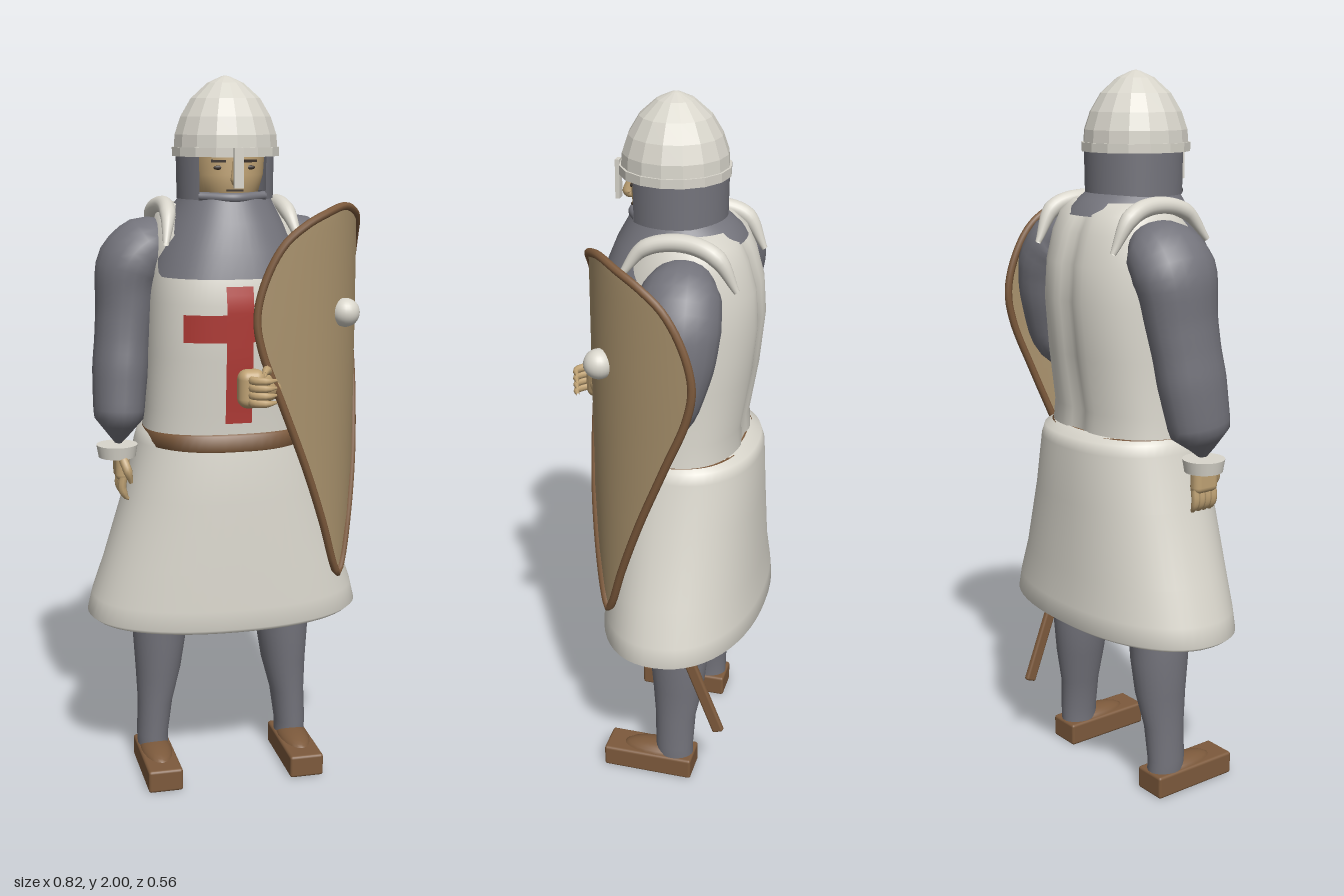
import * as THREE from 'three';
import { mergeVertices } from 'three/addons/utils/BufferGeometryUtils.js';
import { RoundedBoxGeometry } from 'three/addons/geometries/RoundedBoxGeometry.js';

const { lerp, smoothstep } = THREE.MathUtils;
const V = (x, y, z) => new THREE.Vector3(x, y, z);

function mat(name, color, extra = {}) {
  return new THREE.MeshStandardMaterial({ name, color, ...extra });
}

// Grid of points fn(u, v), u running right and v running up when seen from outside
function grid(nu, nv, fn, wrap = false) {
  const pos = [], idx = [], cols = wrap ? nu : nu + 1;
  for (let j = 0; j <= nv; j++)
    for (let i = 0; i < cols; i++) pos.push(...fn(i / nu, j / nv));
  for (let j = 0; j < nv; j++)
    for (let i = 0; i < nu; i++) {
      const a = j * cols + i, b = j * cols + (i + 1) % cols;
      idx.push(a, b, b + cols, a, b + cols, a + cols);
    }
  const g = new THREE.BufferGeometry();
  g.setAttribute('position', new THREE.Float32BufferAttribute(pos, 3));
  g.setIndex(idx);
  g.computeVertexNormals();
  return g;
}

// Stacked superellipse rings: [y, centreX, halfWidth, zFront, zBack]
function loft(rows, n = 2, tweak = p => p, seg = 56) {
  const pw = t => Math.sign(t) * Math.abs(t) ** (2 / n);
  return grid(seg, rows.length - 1, (u, v) => {
    const [y, cx, hx, zf, zb] = rows[Math.round(v * (rows.length - 1))];
    const a = u * Math.PI * 2, c = pw(Math.cos(a));
    // the widest point sits midway between front and back
    const zm = (zf + zb) / 2, hz = (zf - zb) / 2;
    return tweak([cx + hx * pw(Math.sin(a)), y, zm + hz * c]);
  }, true);
}

// Tube of varying radius along a smooth path
function limb(points, radii, zScale = 1, seg = 28, sides = 20) {
  const path = new THREE.CatmullRomCurve3(points.map(p => V(...p)));
  const g = new THREE.TubeGeometry(path, seg, 1, sides);
  const pos = g.attributes.position, q = V(0, 0, 0);
  for (let i = 0; i < pos.count; i++) {
    const t = Math.floor(i / (sides + 1)) / seg, c = path.getPointAt(t);
    const f = t * (radii.length - 1), k = Math.min(Math.floor(f), radii.length - 2);
    const r = lerp(radii[k], radii[k + 1], f - k);
    q.fromBufferAttribute(pos, i).sub(c).multiplyScalar(r);
    q.z *= zScale;
    q.add(c);
    pos.setXYZ(i, q.x, q.y, q.z);
  }
  g.deleteAttribute('uv');
  g.deleteAttribute('normal');
  const m = mergeVertices(g, 1e-5);
  m.computeVertexNormals();
  return m;
}

const TORSO_N = 2.4;
const TORSO = [
  [1.0, 0, 0.235, 0.16, -0.195], [1.1, 0, 0.225, 0.165, -0.19], [1.25, 0, 0.22, 0.178, -0.215],
  [1.4, 0, 0.217, 0.185, -0.23], [1.5, 0, 0.21, 0.165, -0.223], [1.58, 0, 0.2, 0.13, -0.2],
  [1.63, 0, 0.18, 0.08, -0.175], [1.66, 0, 0.15, 0.04, -0.14], [1.66, 0, 0.01, 0, -0.02]];

// Height of the chest surface at (x, y)
function chestZ(x, y) {
  const k = Math.max(0, TORSO.findIndex(r => r[0] > y) - 1), a = TORSO[k], b = TORSO[k + 1];
  const t = (y - a[0]) / (b[0] - a[0]);
  const hx = lerp(a[2], b[2], t), zf = lerp(a[3], b[3], t), zb = lerp(a[4], b[4], t);
  return (zf + zb) / 2 + (zf - zb) / 2 * (1 - Math.abs(x / hx) ** TORSO_N) ** (1 / TORSO_N);
}

export function createModel() {
  const cloth = mat('off white', 0xd9d6cc, { side: THREE.DoubleSide });
  const helmetMat = mat('helmet white', 0xd8d5cb, { flatShading: true });
  const mail = mat('mail grey', 0x74747c, { side: THREE.DoubleSide });
  const skin = mat('skin', 0xbfa274);
  const leather = mat('leather brown', 0x7d5a3c);
  const red = mat('red', 0xb03a35, { side: THREE.DoubleSide });
  const tan = mat('shield tan', 0xa8916c, { side: THREE.DoubleSide });
  const dark = mat('dark', 0x3a3028);

  const root = new THREE.Group();
  const body = new THREE.Group();
  body.name = 'body';
  body.position.x = -0.01;
  root.add(body);
  const add = (name, geo, material, parent = body) => {
    const m = new THREE.Mesh(geo, material);
    m.name = name;
    parent.add(m);
    return m;
  };

  // Surcoat with a soft groove down the back
  const groove = ([x, y, z]) => [x, y, z < 0 ? z + 0.014 * Math.exp(-((x / 0.03) ** 2)) : z];
  add('surcoat', loft(TORSO, TORSO_N, groove, 72), cloth);
  add('skirt', loft([
    [0.482, 0, 0.38, 0.185, -0.245], [0.495, 0, 0.397, 0.198, -0.264], [0.55, 0, 0.384, 0.196, -0.26],
    [0.65, 0, 0.35, 0.19, -0.25], [0.85, 0, 0.287, 0.18, -0.243], [1.0, 0, 0.252, 0.168, -0.238],
    [1.03, 0, 0.243, 0.155, -0.228], [1.045, 0, 0.222, 0.13, -0.19]], 2.2,
    ([x, y, z]) => [x, y - (y < 0.6 ? 0.03 * z : 0), z]), cloth);
  add('belt', loft([[0.99, 0, 0.2, 0.16, -0.19], [1.0, 0, 0.232, 0.18, -0.2],
    [1.04, 0, 0.232, 0.174, -0.2], [1.045, 0, 0.22, 0.155, -0.185]], 2.4), leather);
  for (const s of [-1, 1])
    add('shoulderStrap', limb([[s * 0.185, 1.56, 0.11], [s * 0.168, 1.635, 0.05], [s * 0.163, 1.655, -0.05],
      [s * 0.175, 1.63, -0.14], [s * 0.17, 1.54, -0.195]], [0.008, 0.022, 0.024, 0.024, 0.008]), cloth);

  // Cross following the chest
  for (const [x0, x1, y0, y1] of [[-0.036, 0.038, 1.075, 1.45], [-0.147, -0.036, 1.3, 1.375], [0.038, 0.147, 1.3, 1.375]])
    add('chestCross', grid(12, 16, (u, v) => {
      const x = lerp(x0, x1, u), y = lerp(y0, y1, v);
      return [x, y, chestZ(x, y) + 0.006];
    }), red);

  // Mail cape: low in front, high behind
  const rings = [[0, 0, 0], [0.3, 0.25, 0.2], [0.65, 0.65, 0.55], [0.9, 0.92, 0.9], [1, 1, 1]];
  add('mailCape', grid(56, 4, (u, v) => {
    const a = u * Math.PI * 2, [ty, tx, tz] = rings[Math.round(v * 4)];
    const c = Math.cos(a), s = Math.sin(a), front = smoothstep(c, -0.3, 0.45);
    const px = Math.sign(s) * Math.abs(s) ** 0.85;
    return [lerp(px * lerp(0.16, 0.215, front), s * 0.12, tx), lerp(lerp(1.625, 1.473, front), 1.69, ty),
      lerp(c > 0 ? 0.213 * c ** 0.85 : 0.18 * c, 0.122 * c + 0.005, tz)];
  }, true), mail);

  // Head: mail hood open at the face
  const hood = new THREE.CylinderGeometry(0.134, 0.132, 0.13, 40, 1, true, 0.76, Math.PI * 2 - 1.52);
  hood.translate(0, 1.74, 0.005);
  add('mailHood', hood, mail);
  add('hoodRim', limb([[-0.09, 1.684, 0.09], [0, 1.68, 0.125], [0.09, 1.684, 0.09]], [0.012, 0.014, 0.012]), mail);
  add('face', loft([[1.66, 0, 0.06, 0.1, -0.08], [1.69, 0, 0.085, 0.125, -0.1], [1.74, 0, 0.1, 0.128, -0.1],
    [1.8, 0, 0.105, 0.125, -0.1]], 2.2), skin);
  add('nose', limb([[0, 1.775, 0.125], [0, 1.745, 0.138], [0, 1.725, 0.14], [0, 1.718, 0.12]],
    [0.008, 0.011, 0.016, 0.004]), skin);
  add('mouth', new THREE.BoxGeometry(0.045, 0.005, 0.006), dark).position.set(0, 1.7, 0.125);
  for (const s of [-1, 1]) {
    const brow = add('brow', new THREE.BoxGeometry(0.04, 0.007, 0.008), dark);
    brow.position.set(s * 0.043, 1.777, 0.118);
    brow.rotation.y = s * 0.3;
    const eye = add('eye', new THREE.SphereGeometry(0.01, 12, 8), dark);
    eye.scale.set(1.4, 0.6, 0.4);
    eye.position.set(s * 0.043, 1.76, 0.118);
  }

  // Faceted helmet with rim and nose guard
  const lathe = pts => new THREE.LatheGeometry(pts.map(p => new THREE.Vector2(...p)), 16).translate(0, 0, 0.012);
  add('helmet', lathe([[0.135, 1.79], [0.143, 1.805], [0.14, 1.845], [0.124, 1.892], [0.095, 1.94],
    [0.05, 1.98], [0.012, 1.997], [0, 2]]), helmetMat);
  add('helmetRim', lathe([[0.134, 1.788], [0.148, 1.788], [0.148, 1.812], [0.138, 1.812]]), helmetMat);
  add('noseGuard', new THREE.BoxGeometry(0.025, 0.105, 0.012), helmetMat).position.set(0, 1.76, 0.168);

  // Sleeves
  add('rightSleeve', limb([[-0.14, 1.56, -0.06], [-0.2, 1.545, -0.06], [-0.255, 1.49, -0.06], [-0.275, 1.36, -0.05],
    [-0.295, 1.18, -0.025], [-0.305, 1.02, 0], [-0.306, 1.0, 0]],
    [0.05, 0.088, 0.094, 0.085, 0.08, 0.077, 0.078, 0.074, 0.07, 0.01], 1.3), mail);
  add('leftSleeve', limb([[0.14, 1.56, -0.06], [0.21, 1.545, -0.06], [0.265, 1.48, -0.065], [0.29, 1.36, -0.06],
    [0.295, 1.23, -0.025], [0.22, 1.175, 0.07], [0.12, 1.175, 0.155]],
    [0.05, 0.09, 0.095, 0.088, 0.078, 0.07, 0.058, 0.05, 0.04], 1.2), mail);
  add('rightCuff', new THREE.CylinderGeometry(0.058, 0.052, 0.035, 24), cloth).position.set(-0.31, 0.978, 0);

  // Hanging right hand and gripping left hand
  function hand(name, curl) {
    const h = new THREE.Group();
    h.name = name;
    add('palm', new RoundedBoxGeometry(0.04, 0.085, 0.08, 3, 0.018), skin, h).position.y = -0.02;
    for (let i = 0; i < 4; i++) {
      const z = -0.03 + i * 0.02;
      add('finger', limb([[0, -0.05, z], [-curl * 0.01, -0.085, z], [curl * 0.035, -0.125 + curl * 0.04, z],
        [curl * 0.05, -0.14 + curl * 0.085, z]], [0.012, 0.012, 0.011, 0.004], 1, 10, 8), skin, h);
    }
    add('thumb', limb([[0, 0, 0.035], [0.01, -0.03, 0.05], [0.02, -0.065, 0.045]], [0.013, 0.013, 0.006], 1, 8, 8), skin, h);
    body.add(h);
    return h;
  }
  hand('rightHand', 0.3).position.set(-0.3, 0.96, 0.01);
  const grip = hand('leftHand', 1);
  grip.position.set(0.075, 1.18, 0.2);
  grip.rotation.set(-Math.PI / 2, 0.5, -1.2, 'YXZ');
  add('leftWrist', limb([[0.16, 1.175, 0.13], [0.1, 1.175, 0.175], [0.045, 1.18, 0.215]], [0.036, 0.034, 0.034]), skin);
  add('leftFist', new RoundedBoxGeometry(0.075, 0.105, 0.06, 4, 0.026), skin).position.set(0.02, 1.183, 0.232);

  // Legs and shoes
  for (const s of [-1, 1]) {
    add('leg', loft([[0.05, s * 0.21, 0.045, 0.01, -0.1], [0.1, s * 0.212, 0.046, 0.012, -0.1],
      [0.2, s * 0.203, 0.051, 0.015, -0.105], [0.3, s * 0.192, 0.066, 0.025, -0.125],
      [0.4, s * 0.187, 0.077, 0.035, -0.135], [0.5, s * 0.182, 0.081, 0.04, -0.135],
      [0.75, s * 0.14, 0.1, 0.06, -0.15], [0.95, s * 0.11, 0.1, 0.08, -0.16]], 2, p => p, 28), mail);
    add('shoe', new RoundedBoxGeometry(0.1, 0.066, 0.268, 2, 0.008), leather).position.set(s * 0.21, 0.033, 0.03);
    const upper = add('shoeUpper', new THREE.SphereGeometry(1, 20, 12), leather);
    upper.scale.set(0.046, 0.03, 0.11);
    upper.position.set(s * 0.21, 0.058, 0.005);
  }

  // Scabbard at the left hip
  const scabbard = add('scabbard', new RoundedBoxGeometry(0.018, 0.72, 0.034, 2, 0.007), leather);
  scabbard.position.set(0.262, 0.54, -0.06);
  scabbard.rotation.x = 0.37;

  // Kite shield, bent around the forearm
  const shield = new THREE.Group();
  shield.name = 'shield';
  root.add(shield);
  const bend = (u, y) => [0.295 + 0.185 * u - 0.08 * u * u, y, 0.125 - 0.1775 * u - 0.0875 * u * u];
  const half = [[0, 0.61], [0.09, 0.64], [0.28, 0.77], [0.52, 0.94], [0.78, 1.13], [0.96, 1.28], [1, 1.37],
    [0.93, 1.47], [0.77, 1.56], [0.55, 1.61], [0.28, 1.64], [0, 1.655]];
  add('shieldBoard', grid(24, half.length - 1, (u, v) => {
    const [w, y] = half[Math.round(v * (half.length - 1))];
    return bend((u * 2 - 1) * Math.max(w, 0.002), y);
  }), tan, shield);
  const outline = [...half, ...half.slice(1, -1).reverse().map(([w, y]) => [-w, y])].map(([w, y]) => V(...bend(w, y)));
  add('shieldRim', new THREE.TubeGeometry(new THREE.CatmullRomCurve3(outline, true, 'centripetal'), 120, 0.011, 8, true), leather, shield);
  add('shieldBoss', new THREE.SphereGeometry(0.04, 24, 16), cloth, shield).position.set(0.302, 1.365, 0.132);

  return root;
}
